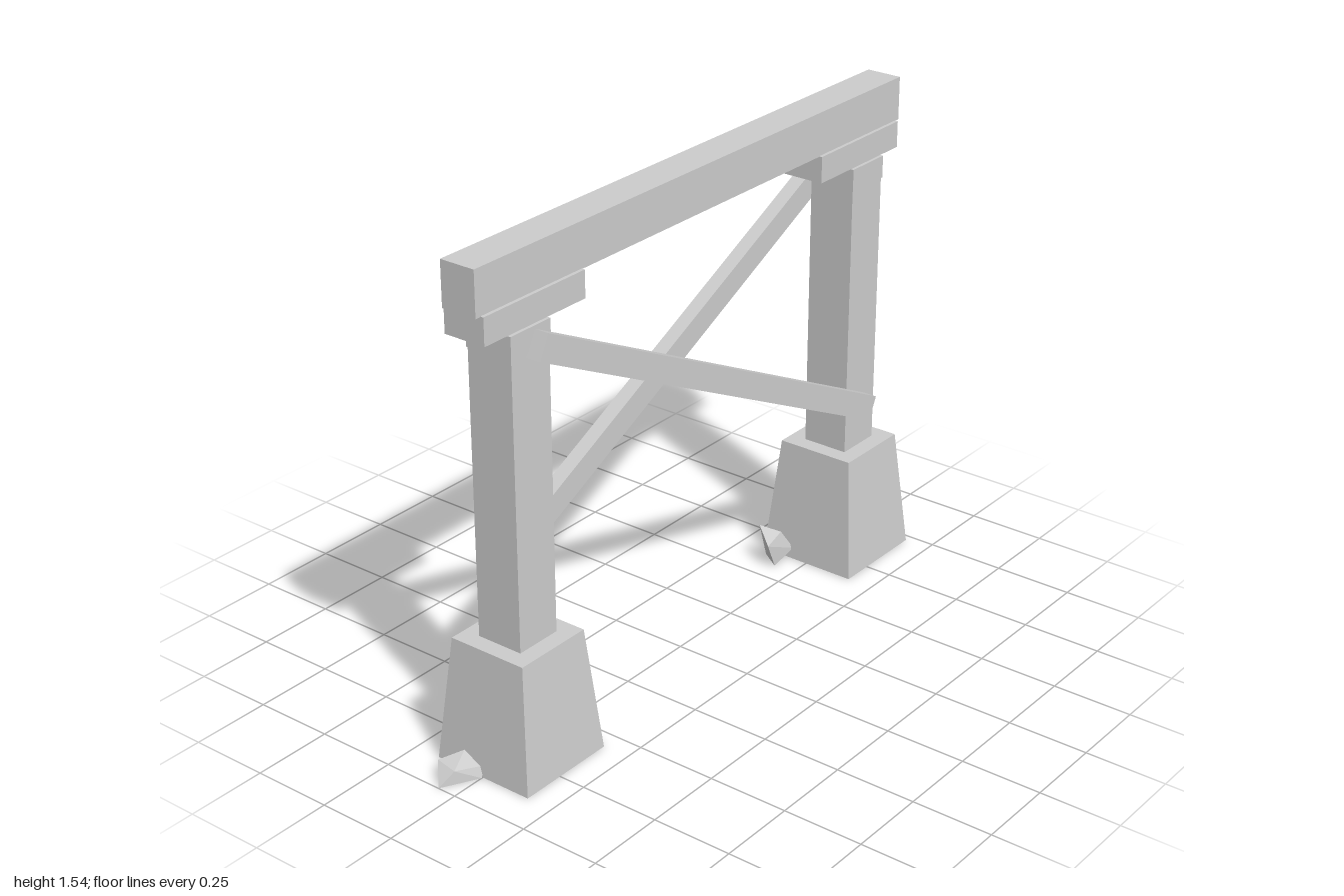
import * as THREE from 'three';
import { ConvexGeometry } from 'three/addons/geometries/ConvexGeometry.js';

const material = new THREE.MeshStandardMaterial({ color: 0xcccccc, flatShading: true });

export function createModel() {
  const model = new THREE.Group();

  function add(name, geometry, x = 0, y = 0, z = 0) {
    const mesh = new THREE.Mesh(geometry, material);
    mesh.name = name;
    mesh.position.set(x, y, z);
    model.add(mesh);
    return mesh;
  }

  // Box given by its limits in x and y and its depth, centred on z = 0
  function block(name, x0, x1, y0, y1, depth) {
    return add(name, new THREE.BoxGeometry(x1 - x0, y1 - y0, depth), (x0 + x1) / 2, (y0 + y1) / 2, 0);
  }

  // Footing: a box whose top is drawn in
  function footing(name, x) {
    const geometry = new THREE.BoxGeometry(0.326, 0.385, 0.33);
    const p = geometry.attributes.position;
    for (let i = 0; i < p.count; i++) {
      if (p.getY(i) > 0) p.setXYZ(i, p.getX(i) * 0.785, p.getY(i), p.getZ(i) * 0.775);
    }
    geometry.computeVertexNormals();
    add(name, geometry, x, 0.1925, 0);
  }

  // Two supports: footing, post, slight swelling at the post head, cap block
  for (const [side, x, capX] of [['right', -0.7225, -0.69], ['left', 0.811, 0.78]]) {
    footing(side + 'Footing', x);
    block(side + 'Post', x - 0.075, x + 0.075, 0.385, 1.325, 0.15);
    block(side + 'PostHead', x - 0.078, x + 0.078, 1.255, 1.325, 0.156);
    block(side + 'CapBlock', capX - 0.198, capX + 0.198, 1.325, 1.407, 0.136);
  }

  // Top beam
  block('topBeam', -0.905, 0.997, 1.405, 1.54, 0.114);

  // Crossed diagonal braces, one on each face of the posts
  function brace(name, yStart, yEnd, z) {
    const x0 = -0.7225, x1 = 0.814;
    const length = Math.hypot(x1 - x0, yEnd - yStart);
    const mesh = add(name, new THREE.BoxGeometry(length, 0.078, 0.047), (x0 + x1) / 2, (yStart + yEnd) / 2, z);
    mesh.rotation.z = Math.atan2(yEnd - yStart, x1 - x0);
  }
  brace('frontBrace', 1.28, 0.522, 0.099);
  brace('backBrace', 0.522, 1.28, -0.099);

  // Angular stones resting against the footings
  function stone(name, points) {
    add(name, new ConvexGeometry(points.map((p) => new THREE.Vector3(...p))));
  }
  stone('outerStone', [
    [-1, 0, -0.06], [-0.945, 0.045, -0.11], [-0.88, 0.06, -0.07], [-0.955, 0.04, -0.04],
    [-0.89, 0, 0], [-0.96, 0, -0.07], [-0.87, 0.03, -0.005], [-0.87, 0.01, -0.07],
  ]);
  stone('innerStone', [
    [0.545, 0.08, -0.075], [0.58, 0.123, -0.135], [0.575, 0, -0.07], [0.64, 0, -0.1],
    [0.62, 0.1, -0.08], [0.662, 0.03, -0.06], [0.59, 0.02, -0.115],
  ]);

  return model;
}
